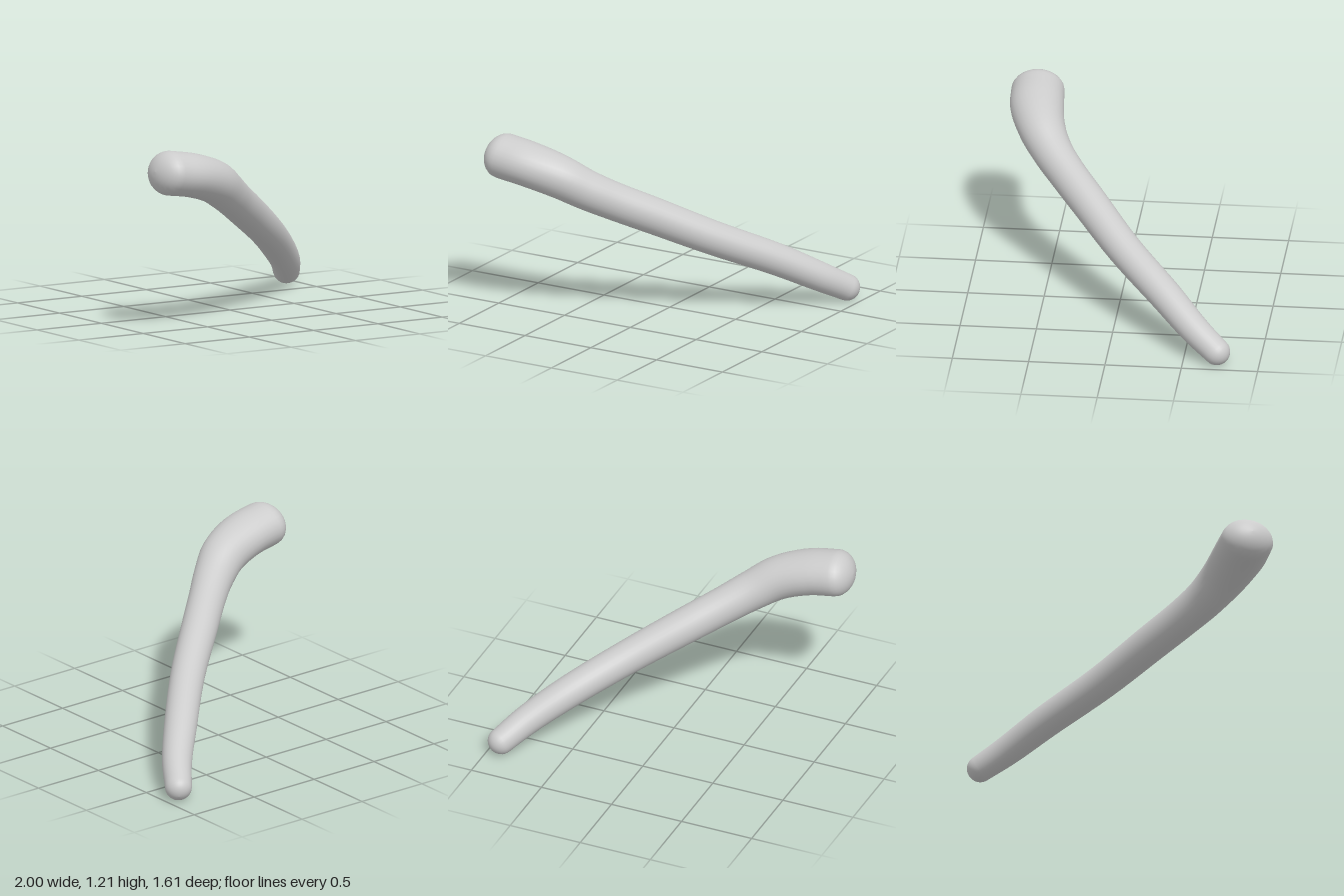
import * as THREE from 'three';

// Stations along the club: centre x, y, z, then half-width across and half-height
const STATIONS = [
  [-0.88, 1.068, 0.63, 0.174, 0.147],
  [-0.70, 1.037, 0.617, 0.176, 0.145],
  [-0.50, 0.972, 0.565, 0.155, 0.142],
  [-0.35, 0.885, 0.482, 0.134, 0.132],
  [-0.20, 0.797, 0.367, 0.122, 0.125],
  [0.00, 0.685, 0.20, 0.119, 0.121],
  [0.30, 0.512, -0.055, 0.113, 0.113],
  [0.60, 0.332, -0.357, 0.108, 0.106],
  [0.80, 0.188, -0.57, 0.098, 0.097],
  [0.912, 0.09, -0.725, 0.088, 0.088],
];
const SIDES = 28, RINGS = 45, CAP = 8;
const HEAD_DEPTH = 0.12, TIP_DEPTH = 0.085;

export function createModel() {
  const spine = new THREE.CatmullRomCurve3(STATIONS.map(s => new THREE.Vector3(s[0], s[1], s[2])));
  const radii = new THREE.CatmullRomCurve3(
    STATIONS.map(s => new THREE.Vector3(s[3], s[4], 0)), false, 'catmullrom');
  const up = new THREE.Vector3(0, 1, 0);
  const positions = [], indices = [];

  // One elliptical ring, pushed along the spine and scaled for the rounded ends
  function addRing(t, push, scale) {
    const tangent = spine.getTangent(t);
    const centre = spine.getPoint(t).addScaledVector(tangent, push);
    const r = radii.getPoint(t);
    const across = new THREE.Vector3().crossVectors(up, tangent).normalize();
    const over = new THREE.Vector3().crossVectors(tangent, across);
    for (let j = 0; j < SIDES; j++) {
      const a = (j / SIDES) * Math.PI * 2;
      const p = centre.clone()
        .addScaledVector(across, Math.cos(a) * r.x * scale)
        .addScaledVector(over, Math.sin(a) * r.y * scale);
      positions.push(p.x, p.y, p.z);
    }
  }

  // Rounded head, shaft, rounded tip
  for (let i = CAP; i > 0; i--) {
    const a = (i / CAP) * Math.PI / 2;
    addRing(0, -HEAD_DEPTH * Math.sin(a), Math.cos(a));
  }
  for (let i = 0; i <= RINGS; i++) addRing(i / RINGS, 0, 1);
  for (let i = 1; i <= CAP; i++) {
    const a = (i / CAP) * Math.PI / 2;
    addRing(1, TIP_DEPTH * Math.sin(a), Math.cos(a));
  }

  // Skin between neighbouring rings
  const total = positions.length / 3 / SIDES;
  for (let i = 0; i < total - 1; i++) {
    for (let j = 0; j < SIDES; j++) {
      const k = (j + 1) % SIDES;
      const a = i * SIDES + j, b = i * SIDES + k;
      const c = a + SIDES, d = b + SIDES;
      indices.push(a, b, d, a, d, c);
    }
  }

  const geometry = new THREE.BufferGeometry();
  geometry.setAttribute('position', new THREE.Float32BufferAttribute(positions, 3));
  geometry.setIndex(indices);
  geometry.computeVertexNormals();

  const club = new THREE.Mesh(geometry, new THREE.MeshStandardMaterial({ color: 0xcccccc }));
  club.name = 'club';
  const group = new THREE.Group();
  group.name = 'curvedClub';
  group.add(club);
  return group;
}
